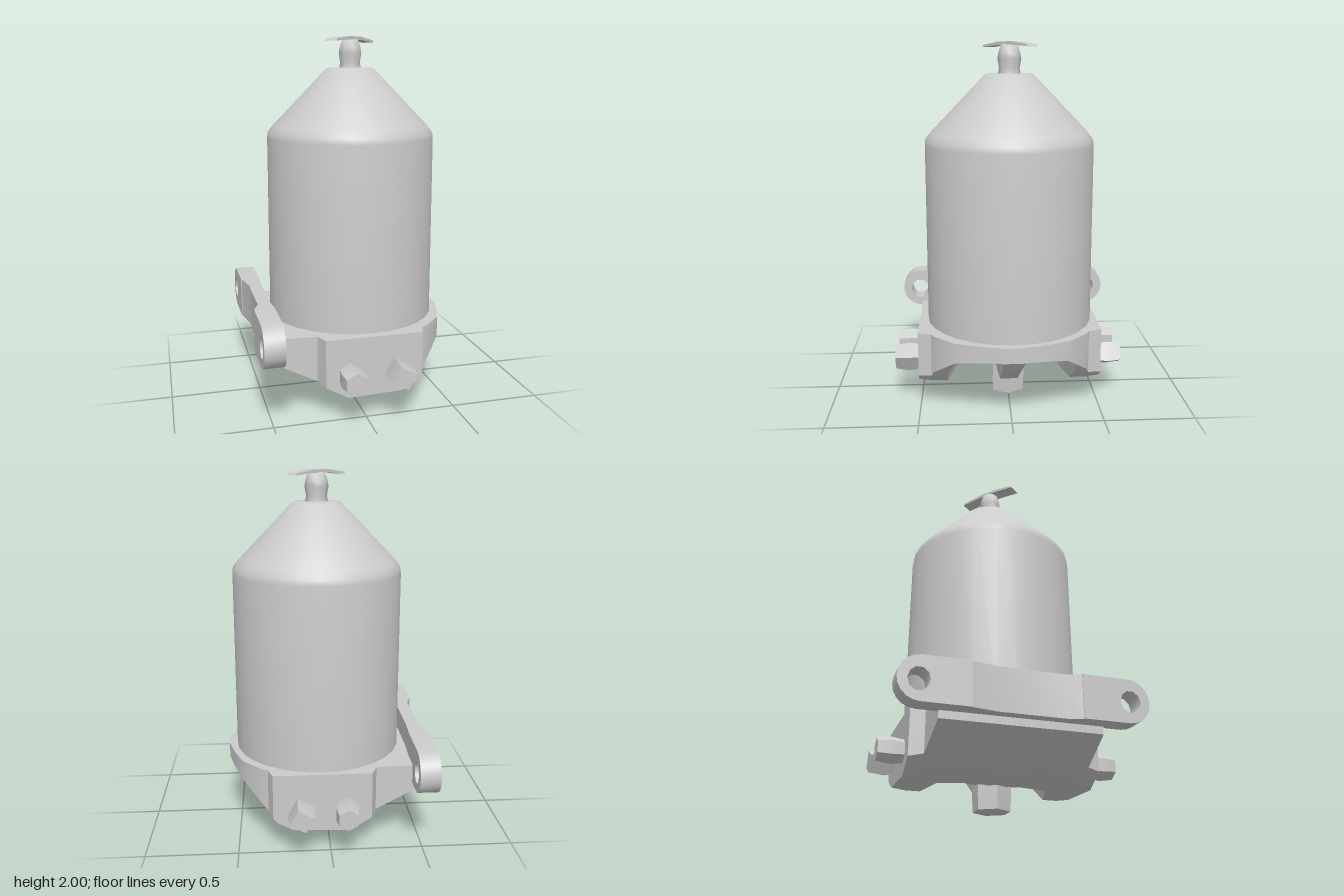
import * as THREE from 'three';
import { toCreasedNormals } from 'three/addons/utils/BufferGeometryUtils.js';

const CX = 0.045, CZ = -0.01; // axis of the canister

export function createModel() {
  const group = new THREE.Group();
  const material = new THREE.MeshStandardMaterial({ color: 0xcccccc, side: THREE.DoubleSide });

  const add = (name, geometry, x = 0, y = 0, z = 0) => {
    const mesh = new THREE.Mesh(geometry, material);
    mesh.name = name;
    mesh.position.set(x, y, z);
    group.add(mesh);
    return mesh;
  };
  const lathe = (points, sides) =>
    new THREE.LatheGeometry(points.map(([r, y]) => new THREE.Vector2(r, y)), sides);

  // Canister: straight wall, bevelled shoulder and conical top
  add('canister', toCreasedNormals(lathe([
    [0.468, 0.4], [0.466, 1.45], [0.462, 1.48], [0.435, 1.515],
    [0.135, 1.825], [0.12, 1.832], [0, 1.832],
  ], 28), 0.6), CX, 0, CZ);

  // Waisted stem of the wing screw
  add('screwStem', lathe([
    [0.065, 1.82], [0.056, 1.86], [0.065, 1.91], [0.06, 1.94], [0.045, 1.985], [0, 1.985],
  ], 8), CX, 0, CZ);

  // Thin arched wing, set diagonally
  const wing = new THREE.Shape([
    [-0.18, 1.972], [-0.06, 1.982], [0.06, 1.982], [0.18, 1.972],
    [0.17, 1.984], [0.05, 2], [-0.05, 2], [-0.17, 1.984],
  ].map(([x, y]) => new THREE.Vector2(x, y)));
  const wingGeometry = new THREE.ExtrudeGeometry(wing, { depth: 0.075, bevelEnabled: false });
  wingGeometry.translate(0, 0, -0.0375);
  add('wing', wingGeometry, CX, 0, CZ).rotation.y = 0.69;

  add('base', baseGeometry());

  // Hexagonal drain plug below the base
  add('drainPlug', toCreasedNormals(
    lathe([[0, 0], [0.1, 0], [0.105, 0.08], [0.105, 0.16]], 6).rotateY(Math.PI / 6), 0.5), 0.04, 0, 0);

  // Port plugs on the front and back faces
  const plugs = [
    ['frontPlug', -0.09, 0.25, 1, 6, 0.074, 0],
    ['frontPlug', 0.17, 0.255, 1, 4, 0.078, 0.3],
    ['backPlug', -0.083, 0.25, -1, 6, 0.07, 0],
    ['backPlug', 0.16, 0.25, -1, 4, 0.078, 0.3],
  ];
  for (const [name, x, y, side, sides, r, turn] of plugs) {
    const geometry = lathe([
      [r * 0.85, -0.06], [r * 0.9, 0.02], [r, 0.06], [r * 0.85, 0.138], [0, 0.138],
    ], sides);
    geometry.rotateY(turn).rotateX(side * Math.PI / 2);
    add(name, toCreasedNormals(geometry, 0.7), x, y, side * 0.502);
  }

  // Mounting strap: a slimmer middle and a rounded, pierced lug at each end
  const middle = new THREE.Shape([
    [-0.56, -0.3], [-0.53, -0.15], [-0.53, 0.22], [-0.56, 0.29],
    [-0.45, 0.29], [-0.457, 0.22], [-0.457, -0.15], [-0.45, -0.3],
  ].map(([x, z]) => new THREE.Vector2(x, -z)));
  const strap = new THREE.ExtrudeGeometry(middle, { depth: 0.23, bevelEnabled: false });
  add('mountingStrap', toCreasedNormals(strap.rotateX(-Math.PI / 2), 0.5), 0, 0.35, 0);

  const lug = new THREE.Shape();
  lug.moveTo(0.28, 0.35);
  lug.lineTo(0.525, 0.35);
  lug.absarc(0.525, 0.465, 0.115, -Math.PI / 2, Math.PI / 2, false);
  lug.lineTo(0.28, 0.58);
  const hole = new THREE.Path();
  hole.absellipse(0.535, 0.46, 0.055, 0.06, 0, Math.PI * 2, true);
  lug.holes.push(hole);
  for (const side of [1, -1]) {
    const geometry = new THREE.ExtrudeGeometry(lug, { depth: 0.11, bevelEnabled: false, curveSegments: 5 });
    geometry.rotateY(side * -Math.PI / 2); // shape x becomes +z or -z
    add('strapLug', toCreasedNormals(geometry, 0.7), side > 0 ? -0.45 : -0.56, 0, 0);
  }
  return group;
}

// Cast base: front-facing sections joined along z, with two pockets and a rib under the right rim
function baseGeometry() {
  // z, left x, left y, then lower right points D, E, F
  const half = [
    [0.505, -0.22, 0.19, 0.2, 0.13, 0.28, 0.17, 0.31, 0.2],
    [0.432, -0.25, 0.2, 0.2, 0.12, 0.3, 0.18, 0.335, 0.21],
    [0.42, -0.47, 0.31, 0.2, 0.12, 0.3, 0.18, 0.36, 0.24],
    [0.35, -0.47, 0.31, 0.2, 0.12, 0.36, 0.22, 0.43, 0.3],
    [0.3, -0.47, 0.31, 0.03, 0.13, 0.1, 0.27, 0.475, 0.34],
    [0.15, -0.47, 0.31, 0.03, 0.14, 0.1, 0.28, 0.53, 0.36],
    [0.07, -0.47, 0.31, 0.03, 0.13, 0.1, 0.28, 0.55, 0.365],
    [0.05, -0.47, 0.31, 0.2, 0.12, 0.48, 0.29, 0.557, 0.365],
  ];
  const stations = [...half.map(([z, ...rest]) => [-z, ...rest]), ...half.slice().reverse()];
  const N = 7, positions = [], index = [];
  for (const [z, xl, yl, xd, yd, xe, ye, xf, yf] of stations) {
    const section = [[xl, 0.45], [xl, yl], [-0.1, 0.12], [xd, yd], [xe, ye], [xf, yf], [xf, 0.45]];
    for (const [x, y] of section) positions.push(x, y, z);
  }
  for (let i = 0; i < stations.length - 1; i++) {
    for (let j = 0; j < N; j++) {
      const a = i * N + j, b = i * N + (j + 1) % N;
      index.push(a, b, a + N, b, b + N, a + N);
    }
  }
  const last = (stations.length - 1) * N;
  for (let j = 1; j < N - 1; j++) {
    index.push(0, j + 1, j, last, last + j, last + j + 1);
  }
  const geometry = new THREE.BufferGeometry();
  geometry.setAttribute('position', new THREE.Float32BufferAttribute(positions, 3));
  geometry.setIndex(index);
  return toCreasedNormals(geometry, 0.7);
}
